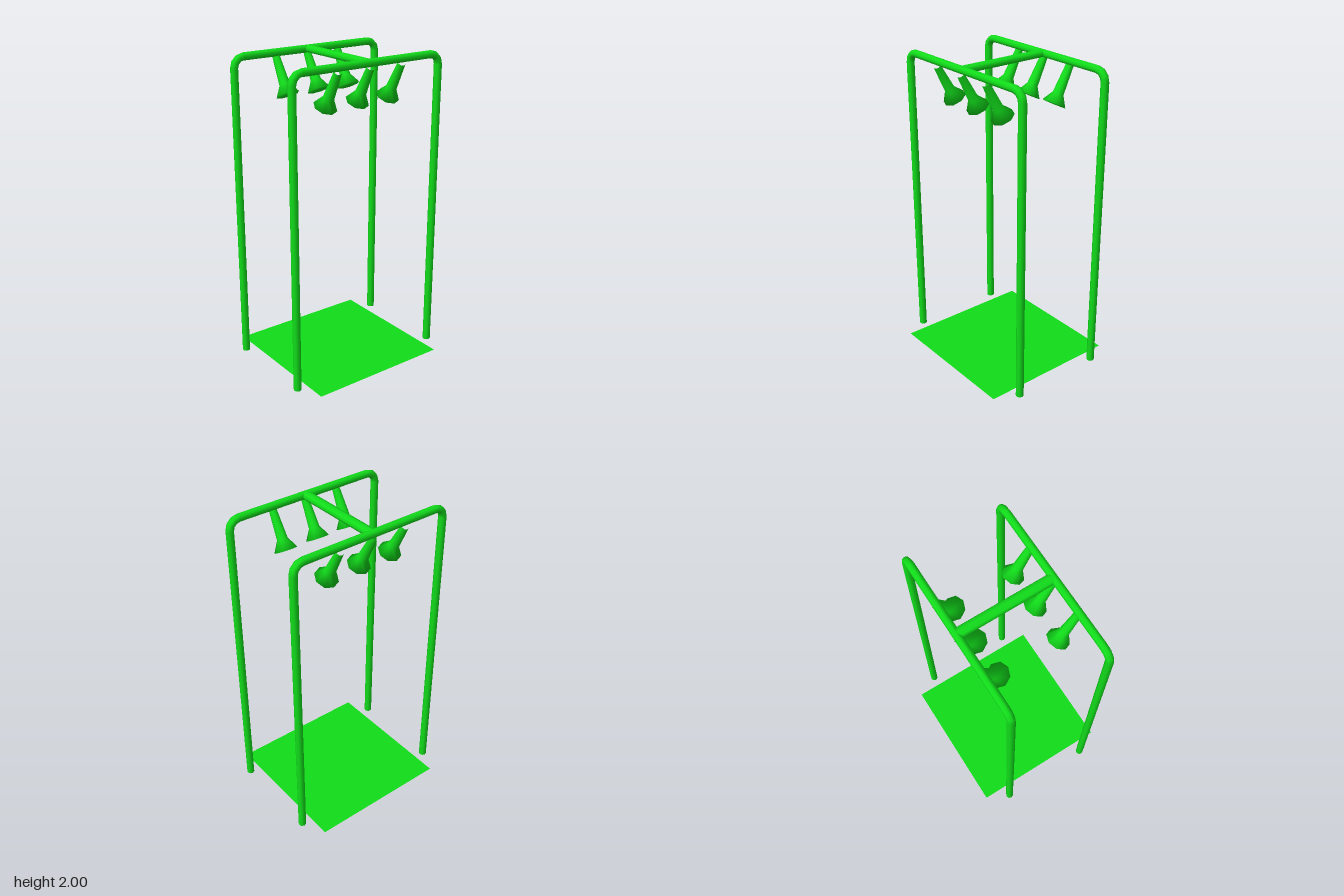
import * as THREE from 'three';

const SIDES = 8;
const PIPE = 0.025; // pipe radius
const FRAME_X = 0.54, FRAME_Z = 0.308, BAR_Y = 1.975, BEND = 0.065;

const material = new THREE.MeshStandardMaterial({ color: 0x11dd1a });
const matMaterial = new THREE.MeshStandardMaterial({ color: 0x11dd1a, side: THREE.DoubleSide });

function add(parent, name, geometry, mat = material) {
  const mesh = new THREE.Mesh(geometry, mat);
  mesh.name = name;
  parent.add(mesh);
  return mesh;
}

// Upside-down U of pipe: two legs, two rounded corners and a top bar
function createArch(name) {
  const arch = new THREE.Group();
  arch.name = name;
  const legHeight = BAR_Y - BEND;
  for (const side of [1, -1]) {
    const label = side > 0 ? 'left' : 'right';
    const leg = add(arch, label + 'Leg', new THREE.CylinderGeometry(PIPE, PIPE, legHeight, SIDES));
    leg.position.set(side * FRAME_X, legHeight / 2, 0);
    const corner = add(arch, label + 'Corner', new THREE.TorusGeometry(BEND, PIPE, SIDES, 3, Math.PI / 2));
    corner.position.set(side * (FRAME_X - BEND), legHeight, 0);
    if (side < 0) corner.rotation.y = Math.PI;
  }
  const bar = add(arch, 'topBar',
    new THREE.CylinderGeometry(PIPE, PIPE, 2 * (FRAME_X - BEND), SIDES));
  bar.rotation.z = Math.PI / 2;
  bar.position.y = BAR_Y;
  return arch;
}

// Tapered neck flaring into a flat sprayer face; origin at the face centre
const sprayerProfile = [[0, 0], [0.074, 0], [0.034, 0.067], [0.024, 0.25]]
  .map(([r, y]) => new THREE.Vector2(r, y));
const sprayerGeometry = new THREE.LatheGeometry(sprayerProfile, SIDES);

export function createModel() {
  const model = new THREE.Group();
  model.name = 'showerFrame';

  // Ground mat
  const mat = add(model, 'groundMat', new THREE.PlaneGeometry(0.94, 0.925), matMaterial);
  mat.rotation.x = -Math.PI / 2;
  mat.position.y = 0.001;

  for (const end of [1, -1]) {
    const label = end > 0 ? 'front' : 'back';
    const arch = createArch(label + 'Arch');
    arch.position.z = end * FRAME_Z;
    model.add(arch);

    // Row of three sprayers leaning inward
    const row = new THREE.Group();
    row.name = label + 'Sprayers';
    for (const x of [-0.235, 0, 0.235]) {
      const sprayer = add(row, 'sprayer', sprayerGeometry);
      sprayer.position.set(x, 1.73, 0.197);
      sprayer.rotation.x = THREE.MathUtils.degToRad(29);
    }
    if (end < 0) row.rotation.y = Math.PI;
    model.add(row);
  }

  // Flattened beam joining both arches
  const beam = add(model, 'crossBeam', new THREE.CylinderGeometry(PIPE, PIPE, 2 * FRAME_Z, SIDES));
  beam.rotation.x = Math.PI / 2;
  beam.scale.x = 1.4;
  beam.position.y = BAR_Y;

  return model;
}
